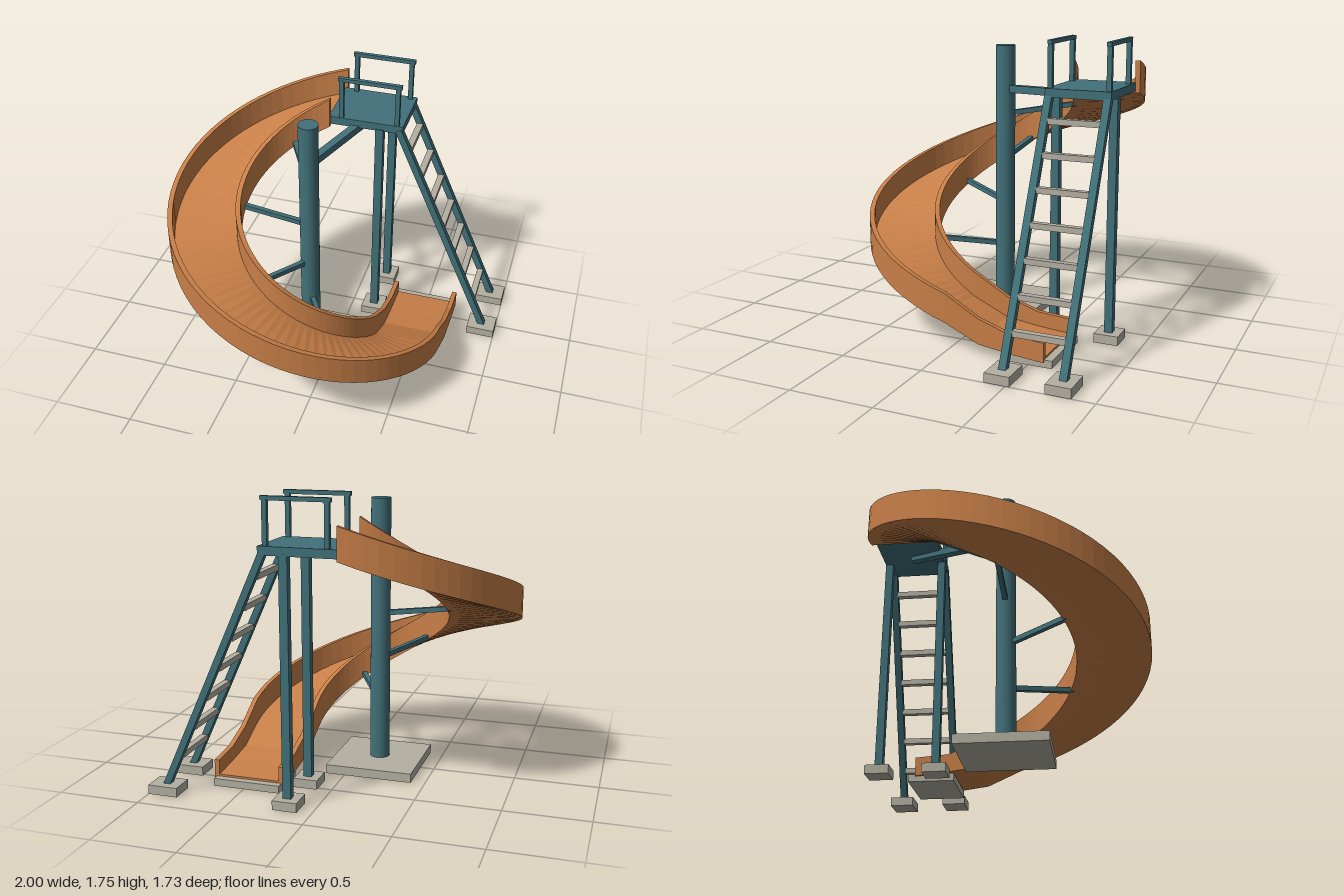
import * as THREE from 'three';

const steel = new THREE.MeshStandardMaterial({ color: 0x42717a });
steel.name = 'teal steel';
const plastic = new THREE.MeshStandardMaterial({ color: 0xc87f48 });
plastic.name = 'orange plastic';
const concrete = new THREE.MeshStandardMaterial({ color: 0xb4b0a3 });
concrete.name = 'pale grey';

const CX = -0.15, CZ = 0.008;            // spiral axis
const R_IN = 0.415, R_OUT = 0.852;       // slide edges
const BACK = -0.795, FRONT = -0.45;      // the two sides of the ladder frame
const floorAt = (a) => 1.42 - (1.25 * a) / (Math.PI * 1.5);

export function createModel() {
  const model = new THREE.Group();
  model.name = 'spiralSlide';

  const add = (name, geometry, material) => {
    const mesh = new THREE.Mesh(geometry, material);
    mesh.name = name;
    model.add(mesh);
    return mesh;
  };
  // Box given by its limits on each axis
  const block = (name, material, x0, x1, y0, y1, z0, z1) => {
    const mesh = add(name, new THREE.BoxGeometry(x1 - x0, y1 - y0, z1 - z0), material);
    mesh.position.set((x0 + x1) / 2, (y0 + y1) / 2, (z0 + z1) / 2);
  };
  // Square bar between two points
  const beam = (name, from, to, w, h = w) => {
    const a = new THREE.Vector3(...from), b = new THREE.Vector3(...to);
    const mesh = add(name, new THREE.BoxGeometry(w, h, a.distanceTo(b)), steel);
    mesh.position.copy(a).add(b).multiplyScalar(0.5);
    mesh.lookAt(b);
  };

  // Slide trough
  add('slideTrough', troughGeometry(), plastic);

  // Central pole and its base
  const pole = add('centralPole', new THREE.CylinderGeometry(0.06, 0.06, 1.62, 32), steel);
  pole.position.set(CX, 0.86, CZ);
  block('poleBase', concrete, -0.417, 0.117, 0, 0.055, -0.26, 0.275);

  // Radial struts holding the slide
  for (const deg of [30, 90, 150, 210]) {
    const a = THREE.MathUtils.degToRad(deg), y = floorAt(a);
    beam('slideStrut', [CX, y - 0.035, CZ],
      [CX - Math.sin(a) * 0.435, y + 0.02, CZ - Math.cos(a) * 0.435], 0.03);
  }

  // Platform and its brace to the pole
  block('platform', steel, -0.165, 0.305, 1.43, 1.48, -0.818, -0.432);
  beam('platformBrace', [CX, 1.403, CZ], [0.07, 1.425, -0.625], 0.05, 0.045);

  // Legs, ladder rails, handrails and feet on both sides
  for (const z of [BACK, FRONT]) {
    block('platformLeg', steel, 0.135, 0.185, 0.05, 1.44, z - 0.024, z + 0.024);
    block('legFoot', concrete, 0.085, 0.23, 0, 0.055, z - 0.073, z + 0.073);
    beam('ladderRail', [0.278, 1.45, z], [0.911, 0.045, z], 0.044, 0.04);
    block('ladderFoot', concrete, 0.82, 1.0, 0, 0.055, z - 0.073, z + 0.073);
    for (const x of [-0.085, 0.265]) {
      block('handrailPost', steel, x - 0.014, x + 0.014, 1.47, 1.73, z - 0.014, z + 0.014);
    }
    block('handrailBar', steel, -0.107, 0.288, 1.723, 1.747, z - 0.013, z + 0.013);
  }

  // Ladder rungs
  for (let i = 0; i < 7; i++) {
    const y = 1.305 - i * 0.179, x = 0.341 + i * 0.0807;
    block('ladderRung', concrete, x - 0.02, x + 0.02, y - 0.017, y + 0.017, BACK + 0.02, FRONT - 0.02);
  }

  // Pad under the slide exit
  block('exitPad', concrete, 0.28, 0.69, 0, 0.045, -0.642, -0.36);

  return model;
}

// U-shaped section swept down a three-quarter helix, then along a straight run-out
function troughGeometry() {
  const wall = 0.03, floor = 0.025, steps = 54;
  const rings = [];
  const addRing = (a, bottom, top, dz) => {
    const section = [
      [R_IN, bottom], [R_OUT, bottom], [R_OUT, top], [R_OUT - wall, top],
      [R_OUT - wall, bottom + floor], [R_IN + wall, bottom + floor], [R_IN + wall, top], [R_IN, top],
    ];
    rings.push(section.map(([r, y]) => [CX - Math.sin(a) * r, y, CZ - Math.cos(a) * r + dz]));
  };
  const end = Math.PI * 1.5;
  for (let i = 0; i <= steps; i++) {
    const a = (end * i) / steps, y = floorAt(a);
    addRing(a, y, y + 0.188 - (0.013 * i) / steps, 0);
  }
  for (const [z, bottom, top] of [[-0.21, 0.075, 0.225], [-0.41, 0.048, 0.16], [-0.605, 0.032, 0.146]]) {
    addRing(end, bottom, top, z);
  }

  const positions = [];
  const quad = (a, b, c, d) => positions.push(...a, ...b, ...c, ...a, ...c, ...d);
  for (let k = 0; k < rings.length - 1; k++) {
    for (let i = 0; i < 8; i++) {
      const j = (i + 1) % 8;
      quad(rings[k][i], rings[k + 1][i], rings[k + 1][j], rings[k][j]);
    }
  }
  // End caps
  const first = rings[0], last = rings[rings.length - 1];
  for (const [a, b, c, d] of [[0, 1, 4, 5], [1, 2, 3, 4], [0, 5, 6, 7]]) {
    quad(first[a], first[b], first[c], first[d]);
    quad(last[d], last[c], last[b], last[a]);
  }
  const geometry = new THREE.BufferGeometry();
  geometry.setAttribute('position', new THREE.Float32BufferAttribute(positions, 3));
  geometry.computeVertexNormals();
  return geometry;
}
